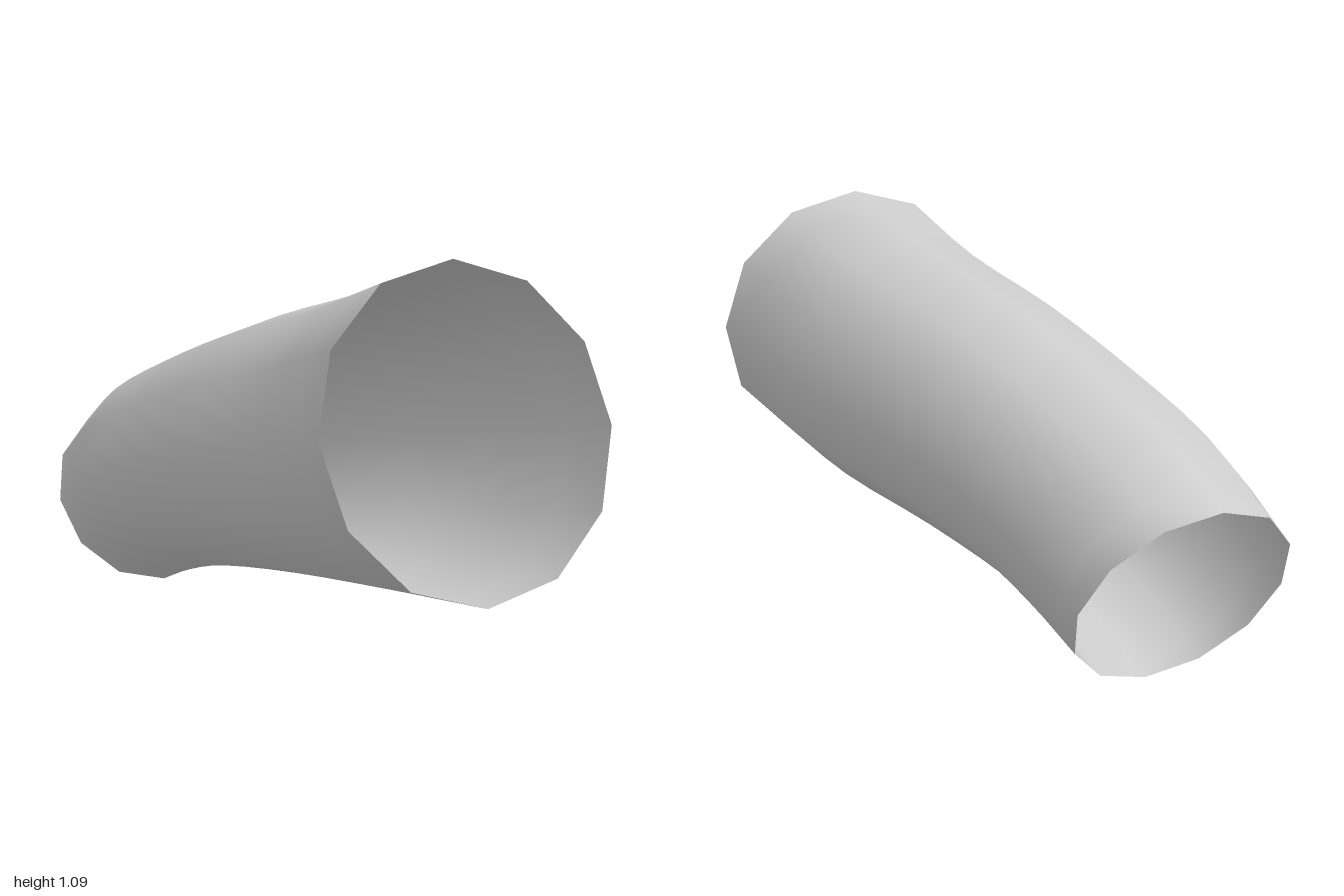
import * as THREE from 'three';

const SIDES = 12, STEPS = 15;

// Cross-sections along the sleeve: centre, centre-to-top and centre-to-front vectors
const sections = [
  { centre: [-0.83, 0.278, -0.20], up: [-0.14, 0.273, -0.033], front: [-0.10, -0.01, 0.275] },
  { centre: [-0.61, 0.38, -0.148], up: [-0.11, 0.305, -0.03], front: [-0.09, 0, 0.30] },
  { centre: [-0.35, 0.463, -0.105], up: [-0.07, 0.333, -0.03], front: [-0.08, 0, 0.32] },
  { centre: [0.01, 0.54, -0.055], up: [-0.07, 0.365, -0.03], front: [-0.08, 0, 0.342] },
  { centre: [0.42, 0.60, 0.0], up: [-0.08, 0.392, -0.03], front: [-0.11, 0, 0.36] },
  { centre: [0.83, 0.67, 0.105], up: [-0.09, 0.42, -0.03], front: [-0.15, 0, 0.375] },
];

// Smooth curve through one of the section vectors
function curveOf(key) {
  const points = sections.map((s) => new THREE.Vector3(...s[key]));
  return new THREE.CatmullRomCurve3(points, false, 'catmullrom', 0.5);
}

// Open tube lofted through the elliptical sections
function sleeveGeometry() {
  const centre = curveOf('centre'), up = curveOf('up'), front = curveOf('front');
  const positions = [], index = [];
  for (let i = 0; i <= STEPS; i++) {
    const t = i / STEPS;
    const c = centre.getPoint(t), u = up.getPoint(t), f = front.getPoint(t);
    for (let j = 0; j < SIDES; j++) {
      const angle = (j / SIDES) * Math.PI * 2;
      const p = c.clone().addScaledVector(u, Math.cos(angle)).addScaledVector(f, Math.sin(angle));
      positions.push(p.x, p.y, p.z);
      if (i === STEPS) continue;
      const a = i * SIDES + j, b = a + SIDES;
      const d = i * SIDES + ((j + 1) % SIDES), e = d + SIDES;
      index.push(a, d, b, d, e, b);
    }
  }
  const geometry = new THREE.BufferGeometry();
  geometry.setAttribute('position', new THREE.Float32BufferAttribute(positions, 3));
  geometry.setIndex(index);
  geometry.computeVertexNormals();
  return geometry;
}

export function createModel() {
  const group = new THREE.Group();
  const material = new THREE.MeshStandardMaterial({ color: 0xcccccc, side: THREE.DoubleSide });
  const sleeve = new THREE.Mesh(sleeveGeometry(), material);
  sleeve.name = 'sleeve';
  group.add(sleeve);
  return group;
}
